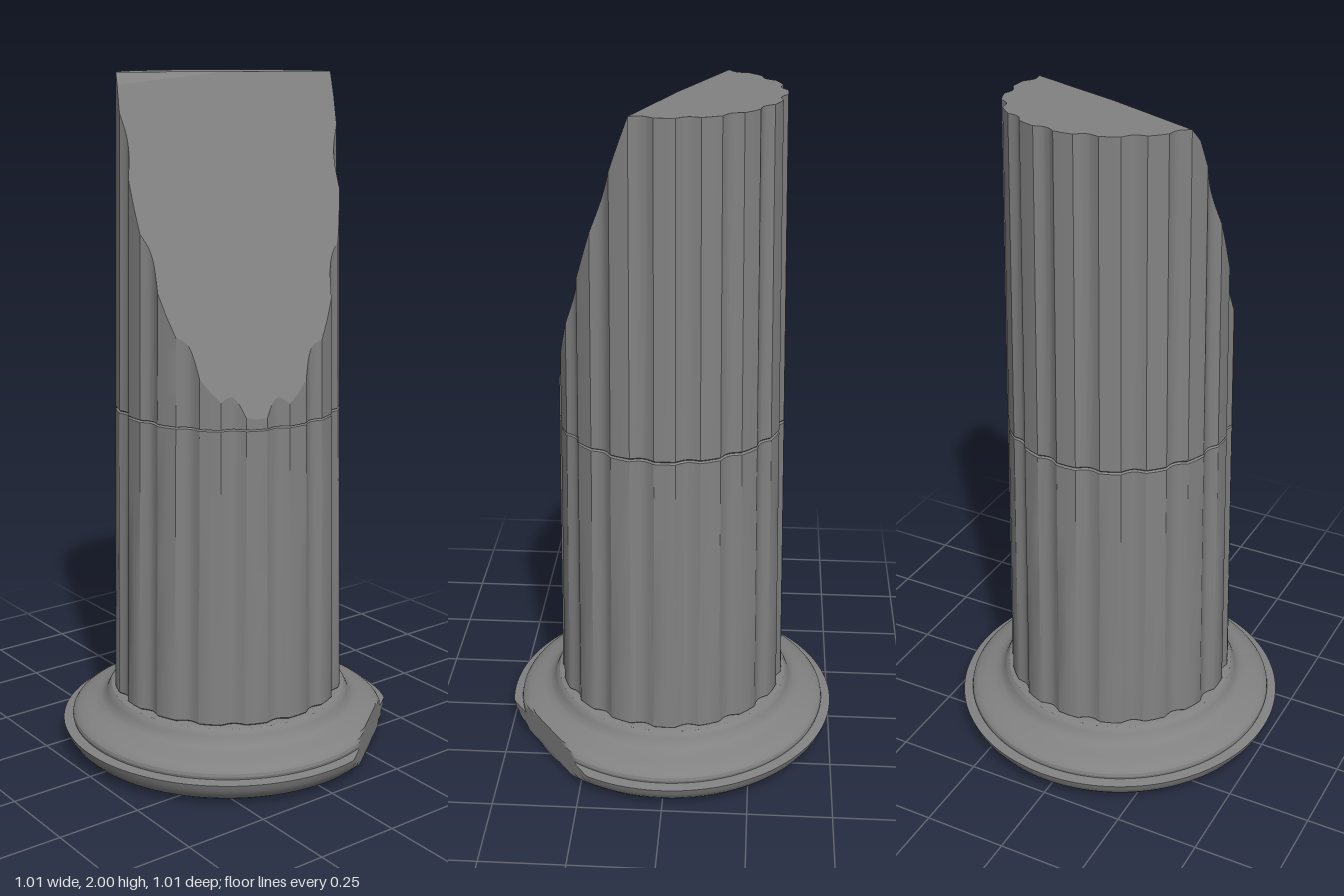
import * as THREE from 'three';
import { toCreasedNormals } from 'three/addons/utils/BufferGeometryUtils.js';

const FLUTES = 16, BOTTOM = 0.18, SEAM = 1.05, TOP = 2;

// one period of the shaft section: flat ridge, then shallow concave flute
const PERIOD = [-0.23, 0, 0.23, 0.29, 0.36, 0.43, 0.5, 0.57, 0.64, 0.71];
const columns = [];
for (let i = 0; i < FLUTES; i++) {
  for (const f of PERIOD) {
    columns.push({
      angle: ((i + f) / FLUTES) * Math.PI * 2,
      depth: f > 0.23 ? 0.014 * Math.sin((Math.PI * (f - 0.23)) / 0.54) : 0,
    });
  }
}

// tapering shaft radius
const radiusAt = (c, y) => 0.345 - (0.033 * (y - BOTTOM)) / (TOP - BOTTOM) - c.depth;

// slanted plane of the fracture
const NX = 0.93, NZ = 0.36, CREST = -0.02, SLOPE = 2.65;
function fractureHeight(c) {
  let y = TOP;
  for (let k = 0; k < 8; k++) {
    const r = radiusAt(c, y);
    const u = r * (NX * Math.cos(c.angle) + NZ * Math.sin(c.angle));
    y = Math.min(TOP, TOP - (u - CREST) * SLOPE);
  }
  return y;
}

function creased(pos, index, angle) {
  const geo = new THREE.BufferGeometry();
  geo.setAttribute('position', new THREE.Float32BufferAttribute(pos, 3));
  geo.setIndex(index);
  return toCreasedNormals(geo, angle);
}

// fluted wall of a drum, slightly inset at its joints
function drumWall(y0, heightOf, topInset) {
  const pos = [], index = [], n = columns.length;
  const levels = [0, 0.005, 0.25, 0.5, 0.75, 0.995, 1];
  levels.forEach((t, j) => {
    for (const c of columns) {
      const y = y0 + (heightOf(c) - y0) * t;
      const inset = j === 0 ? 0.005 : j === levels.length - 1 ? topInset : 0;
      const r = radiusAt(c, y) - inset;
      pos.push(r * Math.cos(c.angle), y, r * Math.sin(c.angle));
    }
  });
  for (let i = 0; i < n; i++) {
    const k = (i + 1) % n;
    for (let j = 0; j < levels.length - 1; j++) {
      const a = j * n + i, b = j * n + k;
      index.push(a, a + n, b, b, a + n, b + n);
    }
  }
  return creased(pos, index, 0.6);
}

// broken top: a fan from the crest line, so flat top and fracture are both planar
function brokenTop() {
  const pos = [CREST * NX, TOP, CREST * NZ], index = [], n = columns.length;
  columns.forEach((c, i) => {
    const y = fractureHeight(c), r = radiusAt(c, y);
    pos.push(r * Math.cos(c.angle), y, r * Math.sin(c.angle));
    index.push(0, 1 + ((i + 1) % n), 1 + i);
  });
  return creased(pos, index, 0.3);
}

// round moulded base with one side broken off flat
function baseGeometry() {
  const profile = [
    [0, 0], [0.42, 0], [0.445, 0.007], [0.468, 0.02], [0.485, 0.037],
    [0.497, 0.056], [0.503, 0.075], [0.473, 0.079], [0.475, 0.087], [0.473, 0.096],
    [0.467, 0.104], [0.455, 0.111], [0.43, 0.12], [0.405, 0.126], [0.385, 0.134],
    [0.373, 0.146], [0.367, 0.16], [0.362, 0.17], [0.355, 0.177], [0.345, 0.18], [0, 0.18],
  ].map(([r, y]) => new THREE.Vector2(r, y));
  const geo = new THREE.LatheGeometry(profile, 240);
  const p = geo.attributes.position;
  for (let i = 0; i < p.count; i++) {
    const x = p.getX(i), z = p.getZ(i), d = 0.804 * x - 0.595 * z;
    if (d > 0.448) p.setXYZ(i, (x * 0.448) / d, p.getY(i), (z * 0.448) / d);
  }
  geo.deleteAttribute('normal');
  geo.deleteAttribute('uv');
  return toCreasedNormals(geo, 0.42);
}

export function createModel() {
  const group = new THREE.Group();
  group.name = 'brokenColumn';
  const stone = new THREE.MeshStandardMaterial({ color: 0x828282 });
  const add = (name, geo) => {
    const mesh = new THREE.Mesh(geo, stone);
    mesh.name = name;
    group.add(mesh);
  };
  add('base', baseGeometry());
  add('lowerDrum', drumWall(BOTTOM, () => SEAM, 0.005));
  add('upperDrum', drumWall(SEAM, fractureHeight, 0));
  add('brokenTop', brokenTop());
  return group;
}
